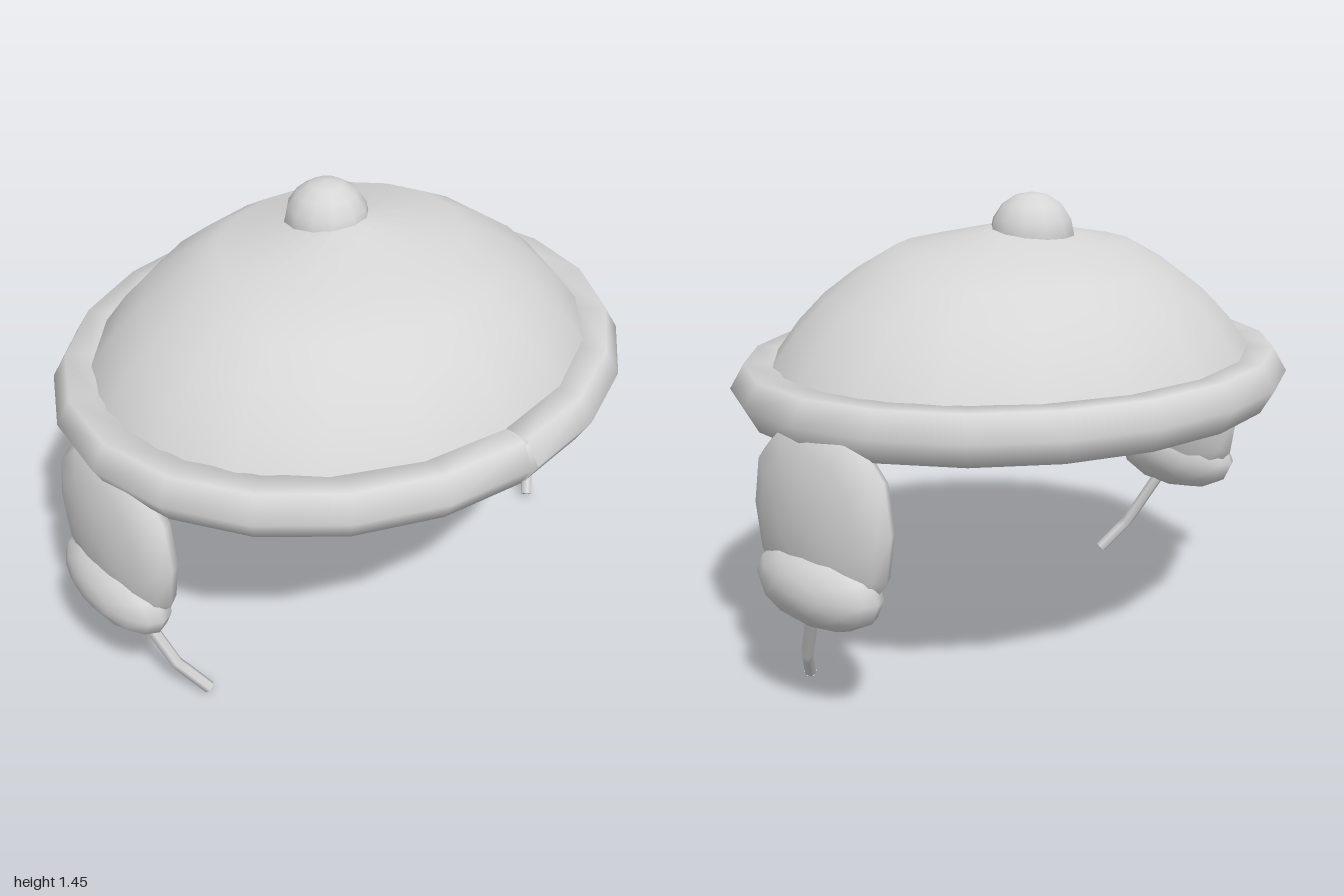
import * as THREE from 'three';
import { mergeVertices } from 'three/addons/utils/BufferGeometryUtils.js';

export function createModel() {
  const group = new THREE.Group();
  const cloth = new THREE.MeshStandardMaterial({ color: 0xd6d6d6, side: THREE.DoubleSide });
  cloth.name = 'lightGreyCloth';

  const add = (name, geometry, x = 0, y = 0, z = 0) => {
    const mesh = new THREE.Mesh(geometry, cloth);
    mesh.name = name;
    mesh.position.set(x, y, z);
    group.add(mesh);
    return mesh;
  };

  // Crown: shallow open dome, oval in plan
  const profile = [[0.86, 0.87], [0.82, 0.948], [0.745, 1.043], [0.655, 1.13], [0.54, 1.21], [0.405, 1.282], [0, 1.357]]
    .map(([r, y]) => new THREE.Vector2(r, y));
  const crown = new THREE.LatheGeometry(profile, 18);
  crown.scale(1, 1, 0.866);
  add('crown', crown);

  // Button on top, set slightly back
  add('topButton', new THREE.SphereGeometry(0.134, 12, 8), 0, 1.315, -0.07);

  // Brim: hexagonal roll around an oval, with a narrow slit at the front
  add('brim', rollGeometry(0.865, 0.745, 0.0866, 20, 6), 0, 0.872, 0);

  // Ear flaps, lower pads and tie strings on both sides
  for (const side of [1, -1]) {
    const label = side > 0 ? 'left' : 'right';
    add(label + 'EarFlap', cushion(0.091, 0.285, 0.275, 2.45), side * 0.87, 0.6, -0.03);
    add(label + 'EarPad', cushion(0.106, 0.124, 0.243, 2.1), side * 0.894, 0.4, -0.03);

    const path = new THREE.CurvePath();
    const points = [[0.885, 0.36, 0], [0.81, 0.115, 0.13], [0.74, 0.012, 0.2]]
      .map(([x, y, z]) => new THREE.Vector3(side * x, y, z));
    path.add(new THREE.LineCurve3(points[0], points[1]));
    path.add(new THREE.LineCurve3(points[1], points[2]));
    add(label + 'TieString', new THREE.TubeGeometry(path, 12, 0.02, 6));
    const tip = add(label + 'StringTip', new THREE.CircleGeometry(0.02, 6), ...points[2].toArray());
    tip.lookAt(points[2].clone().multiplyScalar(2).sub(points[1]));
  }
  return group;
}

// Ellipsoid squared off in its side outline by exponent p
function cushion(rx, ry, rz, p) {
  let geometry = new THREE.SphereGeometry(1, 12, 8);
  geometry.rotateZ(Math.PI / 2);
  geometry.deleteAttribute('uv');
  geometry.deleteAttribute('normal');
  geometry = mergeVertices(geometry, 1e-4);
  const pos = geometry.attributes.position;
  for (let i = 0; i < pos.count; i++) {
    const x = pos.getX(i), y = pos.getY(i), z = pos.getZ(i);
    const s = Math.pow(Math.abs(y) ** p + Math.abs(z) ** p, 1 / p);
    const k = 1 / Math.hypot(s, x);
    pos.setXYZ(i, x * k * rx, y * k * ry, z * k * rz);
  }
  geometry.computeVertexNormals();
  return geometry;
}

// Open roll whose two ends meet at the front and flare apart outward
function rollGeometry(radiusX, radiusZ, thickness, segments, sides) {
  const positions = [], index = [];
  for (let j = 0; j <= segments; j++) {
    const theta = (j / segments) * Math.PI * 2;
    const flare = j === 0 ? 0.012 : j === segments ? -0.012 : 0;
    for (let i = 0; i < sides; i++) {
      const phi = (i / sides) * Math.PI * 2;
      const out = Math.cos(phi);
      positions.push(
        (radiusX + thickness * out) * Math.sin(theta) + flare * Math.max(0, out),
        thickness * Math.sin(phi),
        (radiusZ + thickness * out) * Math.cos(theta));
      if (j < segments) {
        const n = (i + 1) % sides;
        const a = j * sides + i, b = a + sides, c = (j + 1) * sides + n, d = j * sides + n;
        index.push(a, b, c, a, c, d);
      }
    }
  }
  const geometry = new THREE.BufferGeometry();
  geometry.setAttribute('position', new THREE.Float32BufferAttribute(positions, 3));
  geometry.setIndex(index);
  geometry.computeVertexNormals();
  return geometry;
}
